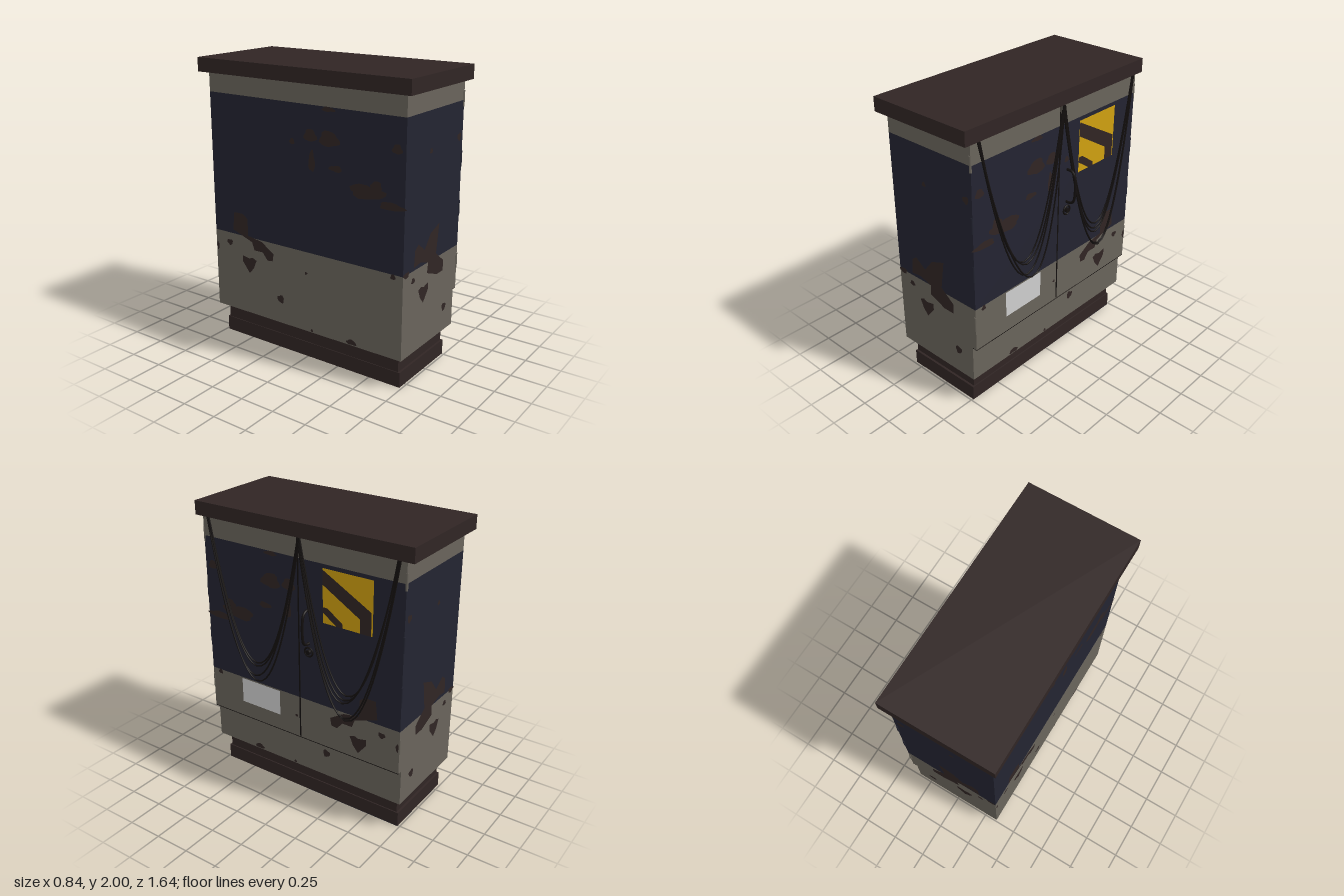
import * as THREE from 'three';

const mat = (name, color) => {
  const m = new THREE.MeshStandardMaterial({ color });
  m.name = name;
  return m;
};

export function createModel() {
  const root = new THREE.Group();
  root.name = 'utilityCabinet';
  const grey = mat('greyPaint', 0x69645b);
  const navy = mat('navyPaint', 0x232431);
  const brown = mat('rustBrown', 0x302524);
  const yellow = mat('signYellow', 0xd0a010);
  const white = mat('labelWhite', 0xcfcfcf);
  const black = mat('cableBlack', 0x130f0e);

  const add = (name, geo, material) => {
    const m = new THREE.Mesh(geo, material);
    m.name = name;
    root.add(m);
    return m;
  };
  // Box from its x and y limits, centred on z unless moved
  const box = (name, x0, x1, y0, y1, depth, material, z = 0) => {
    const m = add(name, new THREE.BoxGeometry(x1 - x0, y1 - y0, depth), material);
    m.position.set((x0 + x1) / 2, (y0 + y1) / 2, z);
  };

  // Plinth, cabinet bands and lid
  box('plinthFoot', -0.315, 0.258, 0, 0.105, 1.47, brown);
  box('plinthNeck', -0.31, 0.25, 0.105, 0.22, 1.44, brown);
  box('lowerPanel', -0.365, 0.305, 0.22, 0.48, 1.54, grey);
  box('doorBandLower', -0.365, 0.34, 0.48, 0.79, 1.54, grey);
  box('doorBandMiddle', -0.365, 0.34, 0.79, 1.77, 1.54, navy);
  box('doorBandUpper', -0.365, 0.34, 1.77, 1.905, 1.54, grey);
  box('lid', -0.415, 0.355, 1.905, 2, 1.644, brown);

  // Painted areas on the underside
  box('undersideNavy', -0.22, 0.258, -0.001, 0.002, 0.735, navy, -0.3675);
  box('undersideGrey', -0.315, -0.22, -0.001, 0.002, 0.755, grey, -0.3575);

  // Seams around the double doors
  box('doorSeam', 0.338, 0.342, 0.49, 1.905, 0.01, black);
  box('doorBottomSeam', 0.304, 0.3405, 0.477, 0.482, 1.54, black);

  // Hinges on both outer door edges
  for (const s of [-1, 1]) {
    for (const y of [0.68, 1.05, 1.385, 1.78]) {
      const h = add('hinge', new THREE.CylinderGeometry(0.008, 0.008, 0.105, 10), y > 0.8 && y < 1.7 ? navy : grey);
      h.position.set(0.335, y, s * 0.768);
    }
  }

  // Thin plate laid on one side of the cabinet; opposite sides are mirrored
  const turns = { front: 0, right: 0.5, back: 1, left: -0.5 };
  const plate = (name, pts, material, face, depth) => {
    const flip = face === 'back' || face === 'left' ? -1 : 1;
    const shape = new THREE.Shape(pts.map(([u, v]) => new THREE.Vector2(flip * u, v)));
    const m = add(name, new THREE.ShapeGeometry(shape), material);
    m.rotation.y = turns[face] * Math.PI;
    m.position[face === 'front' || face === 'back' ? 'z' : 'x'] = flip * depth;
  };
  const rect = (u0, u1, v0, v1) => [[u0, v0], [u1, v0], [u1, v1], [u0, v1]];

  // Rust spot: a wavy ellipse from its centre and radii
  const spot = ([u, v, ru, rv]) => Array.from({ length: 16 }, (_, i) => {
    const a = i * Math.PI / 8;
    const k = 1 + 0.14 * Math.sin(3 * a + 40 * u) + 0.08 * Math.sin(5 * a + 30 * v);
    return [u + ru * k * Math.cos(a), v + rv * k * Math.sin(a)];
  });
  // Heart-like rust flake
  const flake = (u, v) => [[-0.065, 0.03], [-0.03, 0.045], [0, 0.033], [0.06, 0.045], [0.06, 0], [0, -0.075], [-0.04, -0.03]]
    .map(([a, b]) => [u + a, v + b]);

  // Rust on the narrow sides
  const sideSplash = [[-0.24, 0.81], [-0.23, 0.92], [-0.19, 0.95], [-0.11, 0.89], [-0.04, 0.98], [0.07, 1.02],
    [0.04, 0.82], [0.145, 0.74], [0.14, 0.67], [0.06, 0.67], [-0.07, 0.72], [-0.06, 0.79], [-0.16, 0.82]];
  const sideRust = [sideSplash, flake(-0.11, 0.605), ...[
    [-0.33, 0.79, 0.035, 0.02], [-0.245, 0.725, 0.022, 0.018], [0.29, 1.54, 0.025, 0.025],
    [0.175, 0.398, 0.028, 0.028], [-0.07, 1.517, 0.016, 0.016],
  ].map(spot)];
  for (const face of ['front', 'back'])
    sideRust.forEach((p) => plate('sideRust', p, brown, face, 0.772));

  // Rust on the doors, repeated on the wide rear panel
  const doorSplash = [[0.245, 0.715], [0.35, 0.78], [0.47, 0.8], [0.47, 0.92], [0.51, 0.95], [0.59, 0.95],
    [0.605, 0.82], [0.435, 0.76], [0.415, 0.705], [0.34, 0.705], [0.3, 0.655], [0.255, 0.66]];
  const doorRust = [doorSplash, flake(0.465, 0.6), ...[
    [-0.68, 1.22, 0.09, 0.025], [-0.5, 1.28, 0.13, 0.045], [-0.57, 1.33, 0.04, 0.03], [-0.71, 1.575, 0.035, 0.03],
    [-0.22, 1.57, 0.075, 0.05], [-0.075, 1.575, 0.05, 0.04], [-0.215, 1.755, 0.05, 0.015], [-0.27, 1.39, 0.05, 0.02],
    [-0.085, 1.41, 0.025, 0.07], [-0.7, 0.775, 0.018, 0.018], [0.64, 0.72, 0.026, 0.02],
    [-0.03, 0.64, 0.01, 0.01], [0.755, 0.67, 0.01, 0.03], [0.07, 1.52, 0.02, 0.02],
  ].map(spot)];
  const lowRust = [[0.19, 0.398, 0.028, 0.028], [-0.395, 0.242, 0.04, 0.018], [-0.075, 0.235, 0.01, 0.01]].map(spot);
  doorRust.forEach((p) => plate('doorRust', p, brown, 'right', 0.342));
  lowRust.forEach((p) => plate('lowerRust', p, brown, 'right', 0.307));
  [...doorRust, ...lowRust].forEach((p) => plate('rearRust', p, brown, 'left', 0.367));

  // Warning sign and blank label on the doors
  plate('sign', rect(0.19, 0.555, 1.383, 1.745), yellow, 'right', 0.343);
  plate('signStripe', [[0.19, 1.735], [0.545, 1.538], [0.545, 1.383], [0.465, 1.383], [0.465, 1.475], [0.19, 1.638]],
    brown, 'right', 0.345);
  plate('signStripe', [[0.19, 1.49], [0.225, 1.49], [0.34, 1.41], [0.34, 1.383], [0.295, 1.383], [0.19, 1.455]],
    brown, 'right', 0.345);
  plate('label', rect(-0.5, -0.17, 0.598, 0.783), white, 'right', 0.343);

  // Door handle and lock
  const V = (x, y, z) => new THREE.Vector3(x, y, z);
  const grip = new THREE.CatmullRomCurve3([[0.335, 1.445], [0.38, 1.44], [0.403, 1.41], [0.403, 1.24], [0.38, 1.215], [0.335, 1.21]]
    .map(([x, y]) => V(x, y, -0.08)));
  add('handle', new THREE.TubeGeometry(grip, 32, 0.009, 8), black);
  const ring = add('lockRing', new THREE.TorusGeometry(0.031, 0.006, 8, 24), black);
  ring.rotation.y = Math.PI / 2;
  ring.position.set(0.346, 1.15, -0.08);
  const core = add('lockCore', new THREE.CylinderGeometry(0.016, 0.016, 0.02, 16), black);
  core.rotation.z = Math.PI / 2;
  core.position.set(0.35, 1.15, -0.08);

  // Hanging cables: each row is the x, y, z of a strand's middle
  const swag = (z0, z1, lows) => lows.forEach(([x, y, z], i) => {
    const a = V(0.352, 1.905, z0 + (i - 1.5) * 0.005);
    const b = V(0.352, 1.905, z1 - (i - 1.5) * 0.004);
    const c = V(x, y, z).multiplyScalar(2).sub(a.clone().add(b).multiplyScalar(0.5));
    add('cable', new THREE.TubeGeometry(new THREE.QuadraticBezierCurve3(a, c, b), 48, 0.0055, 6), black);
  });
  swag(0.715, -0.018, [[0.36, 0.955, 0.345], [0.375, 0.94, 0.335], [0.385, 0.87, 0.345], [0.402, 0.845, 0.31]]);
  swag(-0.018, -0.722, [[0.36, 0.93, -0.385], [0.37, 0.9, -0.37], [0.38, 0.88, -0.36], [0.388, 0.78, -0.385], [0.385, 0.765, -0.395]]);

  return root;
}
